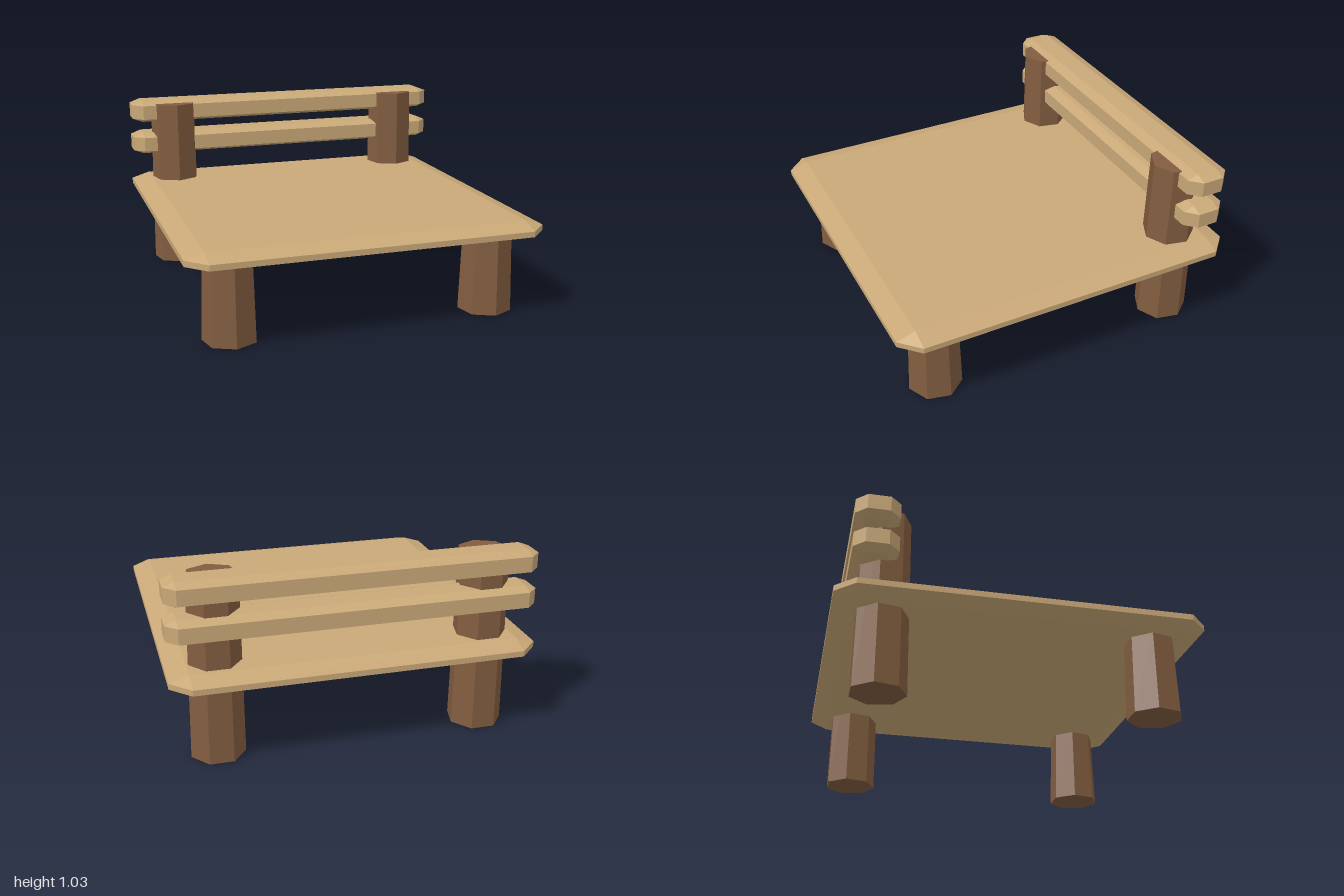
import * as THREE from 'three';
import { ConvexGeometry } from 'three/addons/geometries/ConvexGeometry.js';

const paleWood = new THREE.MeshStandardMaterial({ color: 0xc9a877, flatShading: true });
paleWood.name = 'paleWood';
const darkWood = new THREE.MeshStandardMaterial({ color: 0x825d40, flatShading: true });
darkWood.name = 'darkWood';

// Plank with every edge chamfered; size and bevel are given per axis.
function plank(name, size, bevel, y, z) {
  const points = [];
  const half = size.map((s) => s / 2);
  for (const sx of [-1, 1]) for (const sy of [-1, 1]) for (const sz of [-1, 1]) {
    const sign = [sx, sy, sz];
    // each corner becomes three points, one on each adjoining face
    for (let face = 0; face < 3; face++) {
      points.push(new THREE.Vector3(
        ...sign.map((s, i) => s * (half[i] - (i === face ? 0 : bevel[i])))));
    }
  }
  const mesh = new THREE.Mesh(new ConvexGeometry(points), paleWood);
  mesh.name = name;
  mesh.position.set(0, y, z);
  return mesh;
}

// Tapered seven-sided log standing on the ground, one edge facing forward.
function log(name, x, z, height, topRadius) {
  const mesh = new THREE.Mesh(
    new THREE.CylinderGeometry(topRadius, 0.152, height, 7), darkWood);
  mesh.name = name;
  mesh.position.set(x, height / 2, z);
  return mesh;
}

export function createModel() {
  const bench = new THREE.Group();
  bench.name = 'bench';

  // Seat slab
  bench.add(plank('seat', [2, 0.098, 2], [0.107, 0.033, 0.107], 0.491, 0));

  // Short front legs, and rear posts that carry the backrest
  for (const [side, s] of [['left', 1], ['right', -1]]) {
    bench.add(log(side + 'FrontLeg', s * 0.74, 0.74, 0.49, 0.137));
    bench.add(log(side + 'BackPost', s * 0.74, -0.738, 1.018, 0.14));
  }

  // Backrest rails
  for (const [name, y] of [['lowerRail', 0.765], ['upperRail', 0.968]]) {
    bench.add(plank(name, [2, 0.132, 0.242], [0.061, 0.023, 0.06], y, -0.8));
  }
  return bench;
}
